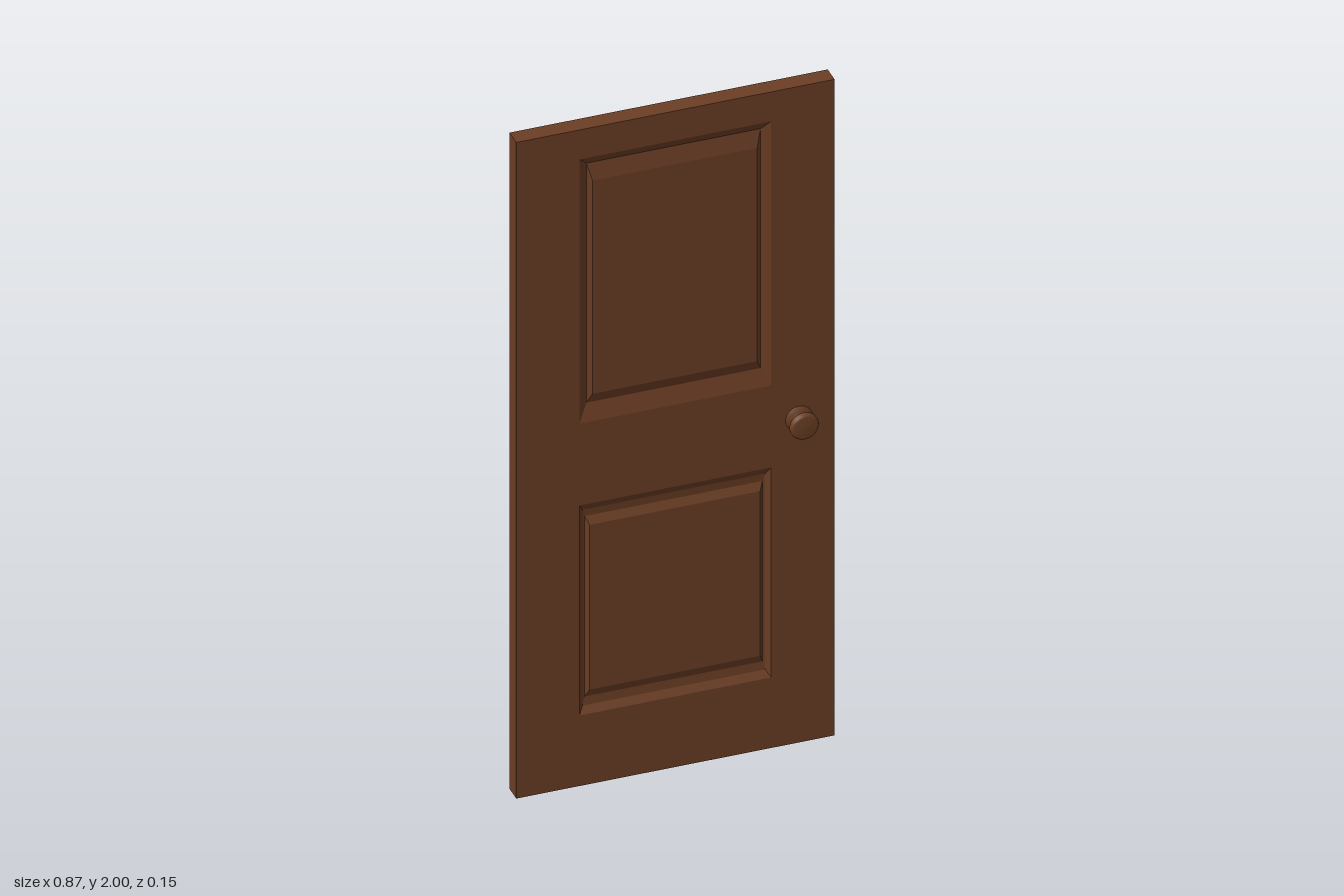
import * as THREE from 'three';

const W = 0.435, H = 2, D = 0.025;

// Rectangular outline: half width, bottom, top, z
const rect = ([w, b, t, z]) => [[-w, b, z], [w, b, z], [w, t, z], [-w, t, z]];

// Flat-shaded bands joining successive rectangles, optionally closed by a flat face
function loft(sections, closed) {
  const pos = [];
  const quad = (a, b, c, d) => pos.push(...a, ...b, ...c, ...a, ...c, ...d);
  const rings = sections.map(rect);
  for (let k = 0; k < rings.length - 1; k++) {
    for (let i = 0; i < 4; i++) {
      const j = (i + 1) % 4;
      quad(rings[k][i], rings[k][j], rings[k + 1][j], rings[k + 1][i]);
    }
  }
  if (closed) quad(...rings[rings.length - 1]);
  const g = new THREE.BufferGeometry();
  g.setAttribute('position', new THREE.Float32BufferAttribute(pos, 3));
  g.computeVertexNormals();
  return g;
}

// Moulded slope, groove and raised field of each panel
const panels = {
  upperPanel: [
    [0.262, 1.105, 1.91, D],
    [0.238, 1.155, 1.885, D - 0.014],
    [0.225, 1.185, 1.835, D - 0.004],
  ],
  lowerPanel: [
    [0.262, 0.215, 0.855, D],
    [0.25, 0.235, 0.832, D - 0.012],
    [0.243, 0.26, 0.81, D - 0.014],
    [0.233, 0.285, 0.787, D - 0.004],
  ],
};

export function createModel() {
  const wood = new THREE.MeshStandardMaterial({ color: 0x6b3e24 });
  wood.name = 'brown wood';
  const door = new THREE.Group();
  door.name = 'door';
  const add = (parent, name, geometry) => {
    const m = new THREE.Mesh(geometry, wood);
    m.name = name;
    parent.add(m);
    return m;
  };

  // Outer edges of the slab
  add(door, 'slabEdges', loft([[W, 0, H, -D], [W, 0, H, D]], false));

  // Frame face with two panel openings
  const path = (w, b, t, P) => new P([[-w, b], [w, b], [w, t], [-w, t]].map(p => new THREE.Vector2(...p)));
  const frame = path(W, 0, H, THREE.Shape);
  for (const [[w, b, t]] of Object.values(panels)) frame.holes.push(path(w, b, t, THREE.Path));
  const frameGeo = new THREE.ShapeGeometry(frame);
  frameGeo.translate(0, 0, D);

  // Knob: flared rosette, neck and rounded grip
  const knobGeo = new THREE.LatheGeometry([
    [0.037, 0.024], [0.037, 0.026], [0.026, 0.032], [0.014, 0.036], [0.012, 0.041], [0.013, 0.047],
    [0.024, 0.051], [0.035, 0.055], [0.039, 0.060], [0.039, 0.066], [0.036, 0.071], [0.030, 0.074], [0, 0.075],
  ].map(p => new THREE.Vector2(...p)), 32);
  knobGeo.rotateX(Math.PI / 2);

  // Both faces share the same panelling; the knobs sit on the same edge
  for (const side of ['front', 'back']) {
    const face = new THREE.Group();
    face.name = side + 'Face';
    if (side === 'back') face.rotation.y = Math.PI;
    add(face, side + 'Frame', frameGeo);
    for (const [name, sections] of Object.entries(panels)) add(face, name, loft(sections, true));
    const knob = add(face, side + 'Knob', knobGeo);
    knob.position.set(side === 'front' ? 0.338 : -0.341, 0.988, 0);
    door.add(face);
  }
  return door;
}
